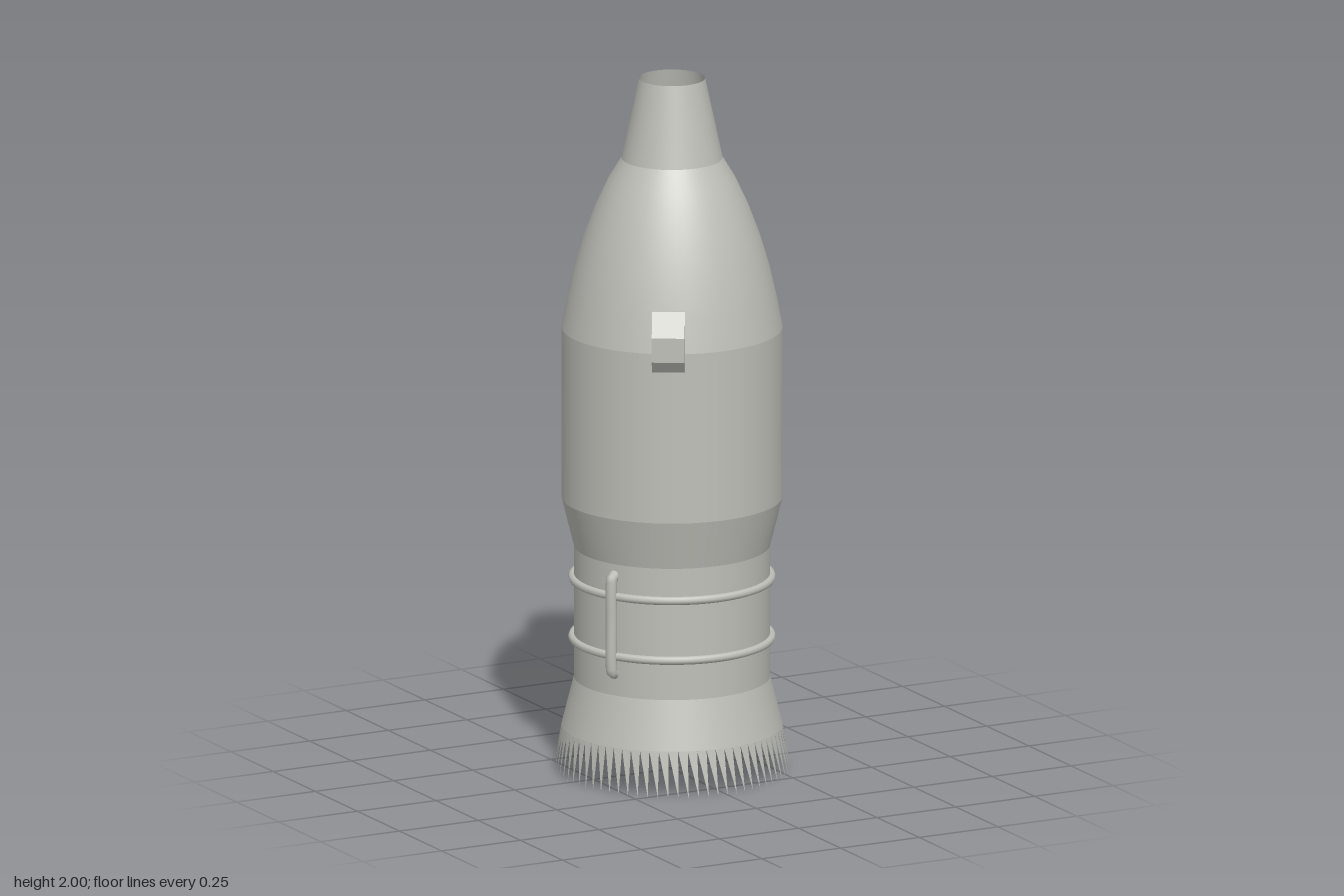
import * as THREE from 'three';
import { toCreasedNormals } from 'three/addons/utils/BufferGeometryUtils.js';

const SIDES = 72;

export function createModel() {
  const model = new THREE.Group();
  const grey = new THREE.MeshStandardMaterial({ color: 0xbfbfb9, side: THREE.DoubleSide });
  grey.name = 'warm grey metal';

  const add = (name, geometry, parent = model) => {
    const mesh = new THREE.Mesh(geometry, grey);
    mesh.name = name;
    parent.add(mesh);
    return mesh;
  };

  // Open shell: one lathe per band so the edges between bands stay crisp
  const bands = {
    lowerSkirt: [[0.31, 0.13], [0.275, 0.27]],
    waist: [[0.275, 0.27], [0.275, 0.65]],
    shoulderFlare: [[0.275, 0.65], [0.31, 0.79]],
    barrel: [[0.31, 0.79], [0.31, 1.28]],
    upperTaper: [[0.31, 1.28], [0.293, 1.37], [0.272, 1.46], [0.245, 1.55],
      [0.213, 1.635], [0.178, 1.71], [0.142, 1.77]],
    neck: [[0.142, 1.77], [0.093, 2]],
  };
  for (const [name, profile] of Object.entries(bands)) {
    add(name, new THREE.LatheGeometry(profile.map(([r, y]) => new THREE.Vector2(r, y)), SIDES));
  }

  // Ring of slanted spikes along the bottom rim
  const corners = [];
  const step = (Math.PI * 2) / SIDES;
  const corner = (r, y, a) => corners.push(r * Math.cos(a), y, r * Math.sin(a));
  for (let i = 0; i < SIDES; i++) {
    corner(0.31, 0.13, i * step);
    corner(0.31, 0.13, (i + 1) * step);
    corner(0.332, 0, i * step);
  }
  const teeth = new THREE.BufferGeometry();
  teeth.setAttribute('position', new THREE.Float32BufferAttribute(corners, 3));
  teeth.computeVertexNormals();
  add('rimTeeth', teeth);

  // Two hoops around the waist
  for (const y of [0.385, 0.558]) {
    const hoop = add('waistHoop', new THREE.TorusGeometry(0.279, 0.012, 8, SIDES));
    hoop.rotation.x = Math.PI / 2;
    hoop.position.y = y;
  }

  // Two upright bars on opposite sides, with ends bent into the wall
  for (const side of [1, -1]) {
    const bar = new THREE.Group();
    bar.name = 'uprightBar';
    const path = new THREE.CatmullRomCurve3([
      [0.268, 0.333], [0.284, 0.338], [0.288, 0.36], [0.288, 0.475],
      [0.288, 0.59], [0.284, 0.612], [0.268, 0.617],
    ].map(([r, y]) => new THREE.Vector3(r, y, 0)));
    add('barTube', new THREE.TubeGeometry(path, 32, 0.016, 10), bar);
    bar.rotation.y = Math.atan2(side * 0.125, side * 0.26);
    model.add(bar);
  }

  // Bevelled block on the front: side profile (radius, height) extruded across
  const profile = new THREE.Shape([
    [0.28, 1.23], [0.32, 1.23], [0.346, 1.265], [0.346, 1.335], [0.298, 1.4], [0.28, 1.4],
  ].map(([r, y]) => new THREE.Vector2(r, y)));
  const block = new THREE.ExtrudeGeometry(profile, { depth: 0.092, bevelEnabled: false });
  block.translate(0, 0, -0.046);
  add('frontBlock', toCreasedNormals(block, 0.3)).rotation.y = -Math.PI * 2 / 3;

  return model;
}
